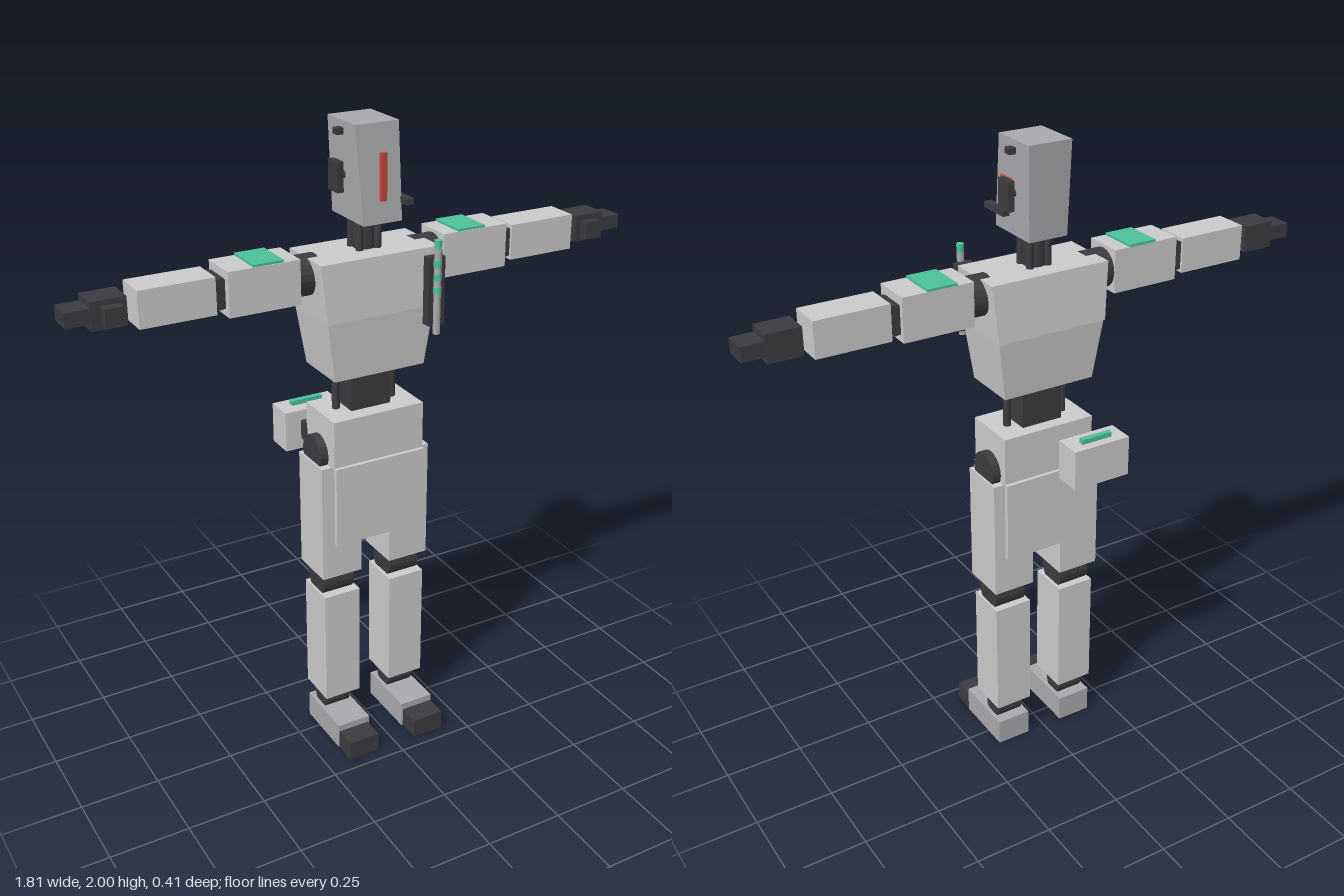
import * as THREE from 'three';

const material = (color) => new THREE.MeshStandardMaterial({ color, flatShading: true });

export function createModel() {
  const model = new THREE.Group();
  model.name = 'robot';
  const light = material(0xcccccc);
  const mid = material(0xaaaaae);
  const dark = material(0x3c3c40);
  const green = material(0x4cc29a);
  const red = material(0xc8483c);

  const add = (name, geometry, mat) => {
    const mesh = new THREE.Mesh(geometry, mat);
    mesh.name = name;
    model.add(mesh);
    return mesh;
  };

  // Box given by its limits on each axis
  const box = (name, mat, [x0, x1], [y0, y1], [z0, z1]) => {
    const g = new THREE.BoxGeometry(Math.abs(x1 - x0), y1 - y0, z1 - z0);
    g.translate((x0 + x1) / 2, (y0 + y1) / 2, (z0 + z1) / 2);
    return add(name, g, mat);
  };

  // Box with different bottom and top rectangles: [halfWidth, zBack, zFront]
  const taperedBox = (name, mat, y0, y1, bottom, top) => {
    const g = new THREE.BoxGeometry(2, 1, 1);
    const p = g.attributes.position;
    for (let i = 0; i < p.count; i++) {
      const isTop = p.getY(i) > 0;
      const [w, back, front] = isTop ? top : bottom;
      p.setXYZ(i, p.getX(i) * w, isTop ? y1 : y0, p.getZ(i) > 0 ? front : back);
    }
    g.computeVertexNormals();
    return add(name, g, mat);
  };

  // Cylinder along an axis, centred at a point
  const rod = (name, mat, axis, radius, length, [x, y, z], sides = 20) => {
    const g = new THREE.CylinderGeometry(radius, radius, length, sides);
    if (axis === 'x') g.rotateZ(Math.PI / 2);
    if (axis === 'z') g.rotateX(Math.PI / 2);
    g.translate(x, y, z);
    return add(name, g, mat);
  };

  // Head with sloping face
  taperedBox('head', mid, 1.725, 2.0, [0.062, -0.083, 0.1], [0.069, -0.092, 0.065]);
  box('faceStrip', red, [-0.009, 0.009], [1.79, 1.925], [0.095, 0.107]);
  box('cheekMark', red, [0.06, 0.075], [1.87, 1.888], [0.0, 0.052]);
  box('microphoneBoom', dark, [0.06, 0.085], [1.775, 1.792], [0.02, 0.125]);

  // Neck
  rod('neck', dark, 'y', 0.032, 0.12, [0, 1.68, -0.008]);
  for (const x of [-0.029, 0.029])
    for (const z of [-0.032, 0.018]) rod('neckPiston', dark, 'y', 0.012, 0.12, [x, 1.68, z], 10);

  // Torso
  taperedBox('chest', light, 1.455, 1.63, [0.178, -0.113, 0.103], [0.193, -0.1, 0.093]);
  taperedBox('abdomen', light, 1.27, 1.455, [0.15, -0.092, 0.088], [0.176, -0.108, 0.098]);
  box('waist', dark, [-0.067, 0.067], [1.13, 1.28], [-0.053, 0.035]);
  box('pelvis', light, [-0.153, 0.153], [0.985, 1.14], [-0.093, 0.085]);
  box('frontFlap', light, [-0.153, 0.153], [0.73, 0.99], [0.082, 0.097]);
  box('backFlap', light, [-0.153, 0.153], [0.73, 0.99], [-0.105, -0.09]);

  // Mirrored parts
  for (const s of [-1, 1]) {
    const span = (a, b) => [s * a, s * b];

    // Ears and temple bolts
    box('earPad', dark, span(0.08, 0.1), [1.805, 1.892], [-0.035, 0.02]);
    rod('earMount', dark, 'x', 0.012, 0.03, [s * 0.07, 1.85, -0.008], 12);
    box('templeBolt', dark, span(0.06, 0.09), [1.962, 1.98], [-0.025, 0.0]);

    // Waist rods
    rod('waistRod', dark, 'y', 0.012, 0.15, [s * 0.096, 1.205, -0.01], 12);

    // Arm
    rod('shoulderJoint', dark, 'x', 0.06, 0.09, [s * 0.205, 1.575, -0.012]);
    box('upperArm', light, span(0.235, 0.455), [1.512, 1.645], [-0.075, 0.052]);
    box('armPanel', green, span(0.285, 0.378), [1.64, 1.652], [-0.075, 0.05]);
    rod('elbowJoint', dark, 'z', 0.045, 0.09, [s * 0.47, 1.577, -0.015]);
    box('forearm', light, span(0.485, 0.71), [1.523, 1.632], [-0.068, 0.038]);
    box('palm', dark, span(0.735, 0.838), [1.537, 1.62], [-0.058, 0.026]);
    box('fingers', dark, span(0.838, 0.907), [1.556, 1.6], [-0.055, 0.021]);
    box('thumb', dark, span(0.755, 0.808), [1.55, 1.604], [0.02, 0.057]);

    // Leg
    rod('hipJoint', dark, 'x', 0.057, 0.1, [s * 0.13, 1.01, -0.01]);
    box('thigh', light, span(0.05, 0.186), [0.602, 0.985], [-0.083, 0.065]);
    rod('kneeJoint', dark, 'x', 0.052, 0.105, [s * 0.118, 0.565, -0.01]);
    box('shin', light, span(0.055, 0.178), [0.145, 0.53], [-0.073, 0.06]);
    rod('ankleJoint', dark, 'x', 0.037, 0.088, [s * 0.118, 0.11, -0.01]);
    box('foot', mid, span(0.062, 0.174), [0, 0.085], [-0.073, 0.135]);
    box('toe', dark, span(0.067, 0.172), [0, 0.063], [0.135, 0.207]);
  }

  // Hip pouch behind the right side
  box('pouch', light, [-0.212, -0.02], [0.975, 1.103], [-0.207, -0.118]);
  box('pouchBracket', dark, [-0.16, -0.07], [1.01, 1.07], [-0.12, -0.09]);
  box('pouchLight', green, [-0.168, -0.064], [1.1, 1.118], [-0.178, -0.16]);

  // Device with a lit rod on the left of the chest
  box('chestDevice', dark, [0.124, 0.178], [1.412, 1.617], [0.12, 0.15]);
  rod('deviceRod', mid, 'y', 0.011, 0.28, [0.15, 1.527, 0.154], 10);
  rod('rodTip', green, 'y', 0.0115, 0.025, [0.15, 1.657, 0.154], 10);
  for (const y of [1.6, 1.56, 1.52]) rod('rodLight', green, 'y', 0.0125, 0.02, [0.15, y, 0.154], 10);

  return model;
}
